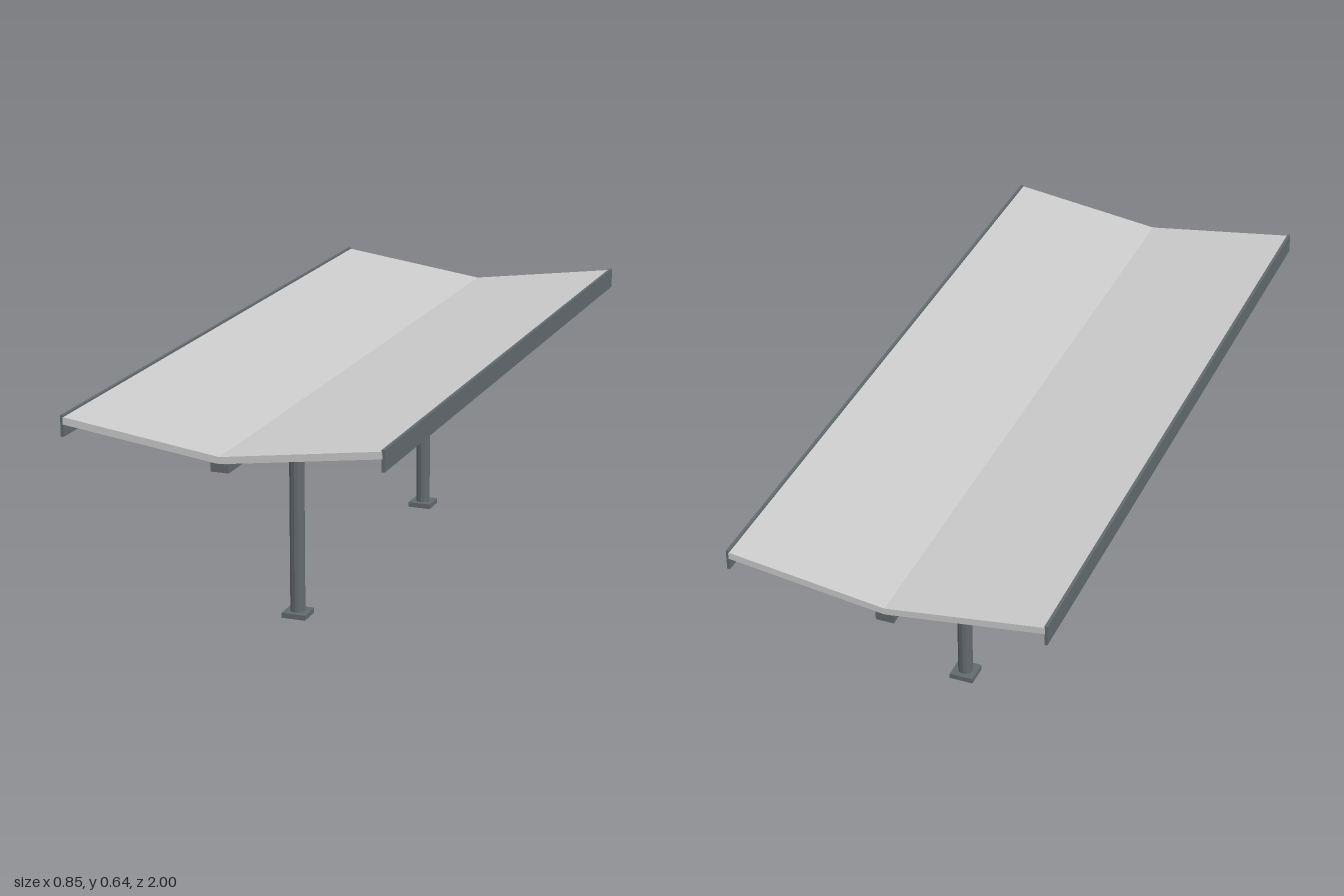
import * as THREE from 'three';

const roofMat = new THREE.MeshStandardMaterial({ color: 0xcccccc, flatShading: true });
const steelMat = new THREE.MeshStandardMaterial({ color: 0x626a6d, flatShading: true });
const lightMat = new THREE.MeshStandardMaterial({ color: 0xfff2d0 });

function add(parent, name, geometry, material, x = 0, y = 0, z = 0) {
  const mesh = new THREE.Mesh(geometry, material);
  mesh.name = name;
  mesh.position.set(x, y, z);
  parent.add(mesh);
  return mesh;
}

// Extrudes an x/y outline along z, centred on z = 0
function slab(points, depth) {
  const shape = new THREE.Shape(points.map(([x, y]) => new THREE.Vector2(x, y)));
  const geometry = new THREE.ExtrudeGeometry(shape, { depth, bevelEnabled: false });
  return geometry.translate(0, 0, -depth / 2);
}

export function createModel() {
  const model = new THREE.Group();
  model.name = 'canopy';

  // V-shaped roof
  add(model, 'roof', slab([
    [0, 0.562], [0.418, 0.619], [0.418, 0.638],
    [0, 0.58], [-0.418, 0.638], [-0.418, 0.619],
  ], 2), roofMat);

  // Gutter under the valley
  add(model, 'gutter', new THREE.BoxGeometry(0.048, 0.022, 2), steelMat, 0, 0.552, 0);

  // Edge boards and light strips on both sides
  for (const side of [-1, 1]) {
    add(model, 'fascia', new THREE.BoxGeometry(0.008, 0.055, 2), steelMat, side * 0.42, 0.6145, 0);
    add(model, 'lightStrip', new THREE.BoxGeometry(0.019, 0.005, 1.8), lightMat, side * 0.217, 0.577, 0);
  }

  // Two posts, each carrying a pair of tapered arms
  for (const z of [-0.5, 0.5]) {
    const support = new THREE.Group();
    support.name = 'support';
    support.position.z = z;
    model.add(support);
    add(support, 'basePlate', new THREE.BoxGeometry(0.066, 0.014, 0.066), steelMat, 0, 0.007, 0);
    add(support, 'column', new THREE.CylinderGeometry(0.02, 0.02, 0.511, 12), steelMat, 0, 0.2695, 0);
    add(support, 'arms', slab([
      [0.02, 0.508], [0.4, 0.608], [0.4, 0.617], [0, 0.55],
      [-0.4, 0.617], [-0.4, 0.608], [-0.02, 0.508],
    ], 0.024), steelMat);
  }
  return model;
}
